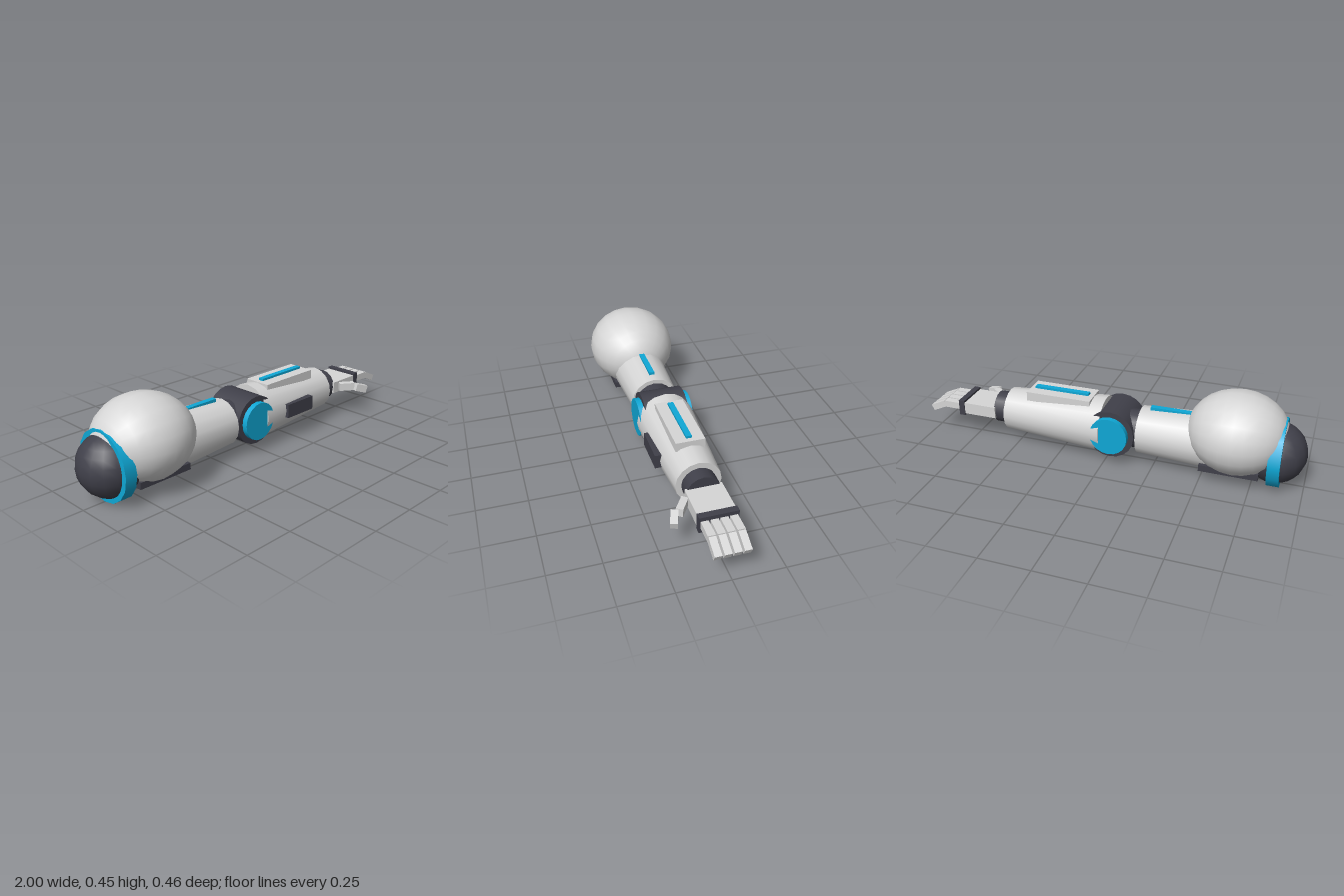
import * as THREE from 'three';

export function createModel() {
  const arm = new THREE.Group();
  arm.name = 'roboticArm';

  const mat = (name, color) => {
    const m = new THREE.MeshStandardMaterial({ color });
    m.name = name;
    return m;
  };
  const shell = mat('light shell', 0xd6d6d6);
  const joint = mat('dark joint', 0x40404a);
  const accent = mat('cyan accent', 0x0fa8d6);

  const AXIS = 0.174; // height of the arm's centre line

  const add = (name, geometry, material, x, y, z, parent = arm) => {
    const mesh = new THREE.Mesh(geometry, material);
    mesh.name = name;
    mesh.position.set(x, y, z);
    parent.add(mesh);
    return mesh;
  };
  // Box given by its extents
  const box = (name, material, [x0, x1], [y0, y1], [z0, z1], parent = arm) =>
    add(name, new THREE.BoxGeometry(x1 - x0, y1 - y0, z1 - z0), material,
      (x0 + x1) / 2, (y0 + y1) / 2, (z0 + z1) / 2, parent);
  // Cylinder or cone lying along the arm from x0 to x1
  const sleeve = (name, material, x0, x1, r0, r1, sides = 16) =>
    add(name, new THREE.CylinderGeometry(r1, r0, x1 - x0, sides).rotateZ(-Math.PI / 2),
      material, (x0 + x1) / 2, AXIS, 0);

  // Shoulder
  add('shoulderBall', new THREE.SphereGeometry(0.153, 16, 12), joint, -0.847, 0.172, 0);
  sleeve('shoulderRing', accent, -0.887, -0.828, 0.172, 0.172).position.y = 0.173;
  add('shoulderPad', new THREE.SphereGeometry(1, 20, 14).rotateZ(-Math.PI / 2),
    shell, -0.66, 0.247, 0).scale.set(0.25, 0.207, 0.232);
  box('shoulderPadTrim', joint, [-0.79, -0.5], [0.072, 0.105], [-0.137, 0.137]);

  // Upper arm
  sleeve('upperArm', shell, -0.54, -0.17, 0.14, 0.122);
  box('upperArmStripe', accent, [-0.46, -0.22], [0.29, 0.312], [-0.014, 0.014]);

  // Elbow
  sleeve('elbowSocket', joint, -0.2, 0.02, 0.1, 0.1);
  add('elbowHinge', new THREE.CylinderGeometry(0.126, 0.126, 0.22, 20).rotateX(Math.PI / 2),
    joint, -0.036, AXIS, 0);
  for (const side of [-1, 1]) {
    add('elbowCap', new THREE.CylinderGeometry(0.098, 0.098, 0.04, 20).rotateX(Math.PI / 2),
      accent, -0.036, AXIS, side * 0.118);
  }

  // Forearm with its top plate, stripe and side panel
  sleeve('forearm', shell, 0.015, 0.55, 0.147, 0.112);
  box('forearmPlate', shell, [0.083, 0.427], [0.272, 0.32], [-0.072, 0.072]);
  box('forearmStripe', accent, [0.11, 0.402], [0.315, 0.332], [-0.014, 0.014]);
  box('forearmSidePanel', joint, [0.16, 0.353], [0.138, 0.211], [0.115, 0.15]);

  // Hand
  sleeve('wrist', joint, 0.54, 0.62, 0.083, 0.083);
  const hand = new THREE.Group();
  hand.name = 'hand';
  arm.add(hand);
  box('palm', shell, [0.612, 0.792], [0.142, 0.204], [-0.089, 0.089], hand);
  box('knuckleBar', joint, [0.79, 0.822], [0.132, 0.215], [-0.092, 0.092], hand);
  for (let i = 0; i < 4; i++) {
    const z = 0.067 - i * 0.0443;
    box('fingerBase', shell, [0.815, 0.913], [0.159, 0.195], [z - 0.018, z + 0.018], hand);
    add('fingerTip', new THREE.BoxGeometry(0.09, 0.034, 0.034), shell, 0.951, 0.159, z, hand)
      .rotation.z = -0.43;
  }
  add('thumbBase', new THREE.BoxGeometry(0.085, 0.042, 0.034), shell, 0.685, 0.174, 0.122, hand)
    .rotation.y = -0.6;
  add('thumbTip', new THREE.BoxGeometry(0.072, 0.04, 0.034), shell, 0.741, 0.164, 0.176, hand)
    .rotation.set(0, -0.35, -0.3);

  return arm;
}
